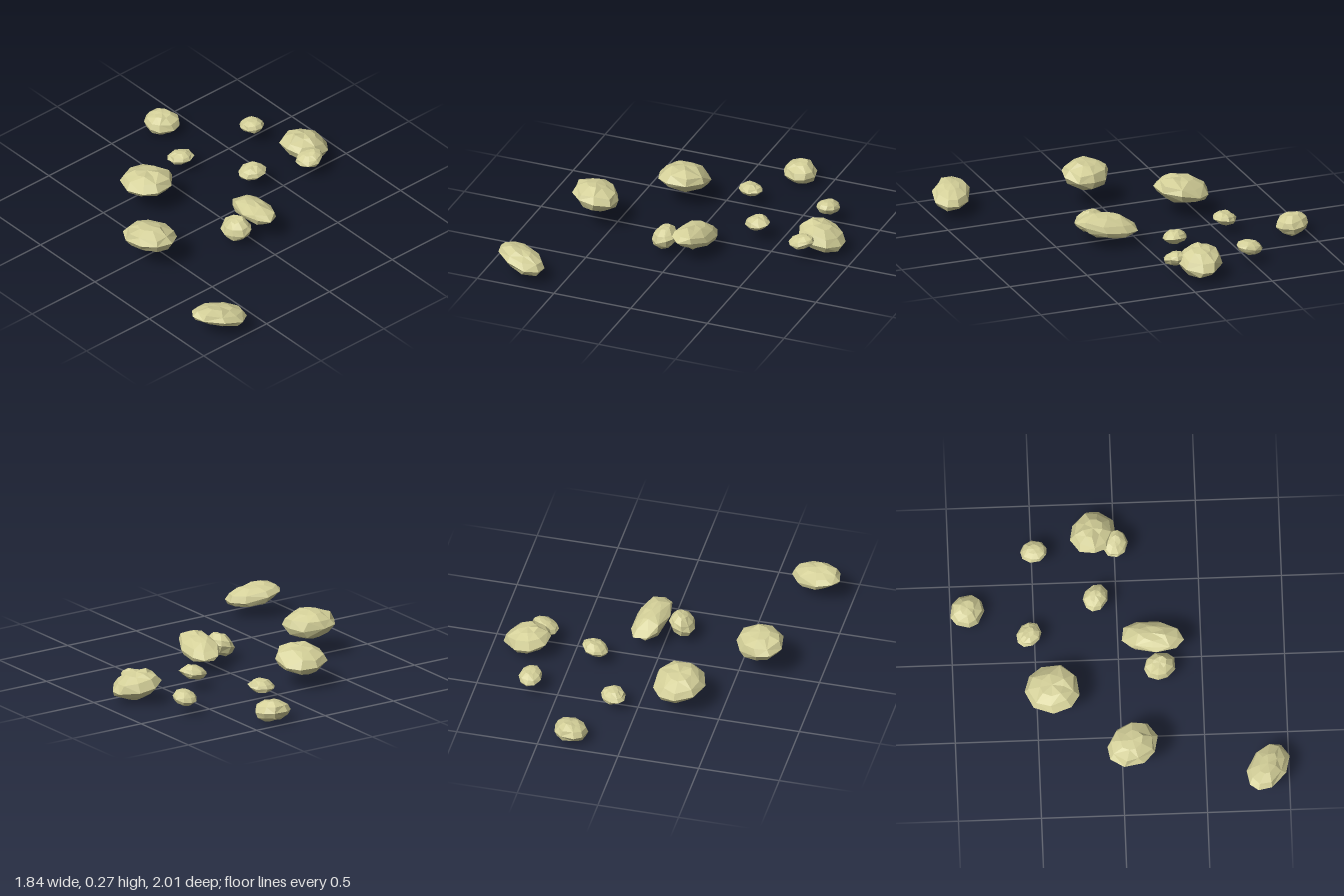
import * as THREE from 'three';

// Centre x, y, z; half sizes x, y, z; tilt along x and z; diagonal skew of the plan
const STONES = {
  backStone: [.315, .065, -.9, .105, .065, .1, 0, -.1, .1],
  backPebble: [.145, .09, -.535, .075, .04, .075, 0, .1, .15],
  backLeftPebble: [.67, .1, -.485, .07, .045, .078, 0, .15, 0],
  backRightBoulder: [-.235, .16, -.407, .155, .08, .163, -.04, .13, 0],
  middlePebble: [.36, .105, -.125, .08, .045, .075, .15, 0, .15],
  leftBoulder: [.777, .105, -.125, .143, .085, .135, -.2, 0, .1],
  leftPebble: [.7, .11, .005, .08, .045, .075, .2, 0, .05],
  rightBoulder: [-.617, .185, .062, .146, .085, .148, -.1, .05, .15],
  centreStone: [-.09, .1, .245, .08, .07, .095, .2, 0, .1],
  centreLongStone: [.09, .128, .205, .11, .073, .185, -.15, .12, -.2],
  frontStone: [-.765, .12, .872, .155, .07, .128, -.2, 0, .35],
};

// Cross-section levels from underside to top: height and width
const LEVELS = [[-.93, .42], [-.5, .85], [0, 1.03], [.52, .86], [.93, .45]];
const SIDES = 9;

function seeded(seed) {
  let s = seed;
  return () => (s = (s * 16807) % 2147483647) / 2147483647;
}

function stoneGeometry([cx, cy, cz, rx, ry, rz, tiltX, tiltZ, skew], seed) {
  const random = seeded(seed);
  const chip = (amount) => (random() - .5) * amount;
  // A tilted stone is thinner than its overall height
  const thick = Math.sqrt(ry ** 2 - (tiltX * rx) ** 2 - (tiltZ * rz) ** 2);
  const points = [];
  const add = (u, h, v) => {
    const x = rx * (u * Math.sqrt(1 - skew ** 2) + v * skew), z = rz * v;
    points.push(new THREE.Vector3(cx + x, cy + h * thick + x * tiltX + z * tiltZ, cz + z));
  };

  // Unevenly chipped rings, then the underside and top points
  const start = random() * Math.PI;
  for (const [height, width] of LEVELS) {
    for (let i = 0; i < SIDES; i++) {
      const angle = start + (i + chip(.3)) / SIDES * Math.PI * 2;
      const r = width * (1 + chip(height === 0 ? .06 : .18));
      add(r * Math.cos(angle), height + chip(.2), -r * Math.sin(angle));
    }
  }
  add(0, -1, 0);
  add(0, 1, 0);

  // Sides with alternating diagonals, then the caps
  const index = [];
  const last = LEVELS.length - 1, bottom = points.length - 2, top = points.length - 1;
  for (let i = 0; i < SIDES; i++) {
    const j = (i + 1) % SIDES;
    for (let ring = 0; ring < last; ring++) {
      const a = ring * SIDES + i, b = ring * SIDES + j, c = b + SIDES, d = a + SIDES;
      if ((i + ring) % 2) index.push(a, b, c, a, c, d);
      else index.push(a, b, d, b, c, d);
    }
    index.push(bottom, j, i, top, last * SIDES + i, last * SIDES + j);
  }
  const geometry = new THREE.BufferGeometry().setFromPoints(points);
  geometry.setIndex(index);
  const faceted = geometry.toNonIndexed();
  faceted.computeVertexNormals();
  return faceted;
}

export function createModel() {
  const group = new THREE.Group();
  group.name = 'scatteredStones';
  const paleStone = new THREE.MeshStandardMaterial({ color: 0xd3cf98, flatShading: true });
  paleStone.name = 'paleStone';
  Object.entries(STONES).forEach(([name, shape], i) => {
    const mesh = new THREE.Mesh(stoneGeometry(shape, 101300 + i * 7919), paleStone);
    mesh.name = name;
    group.add(mesh);
  });
  return group;
}
